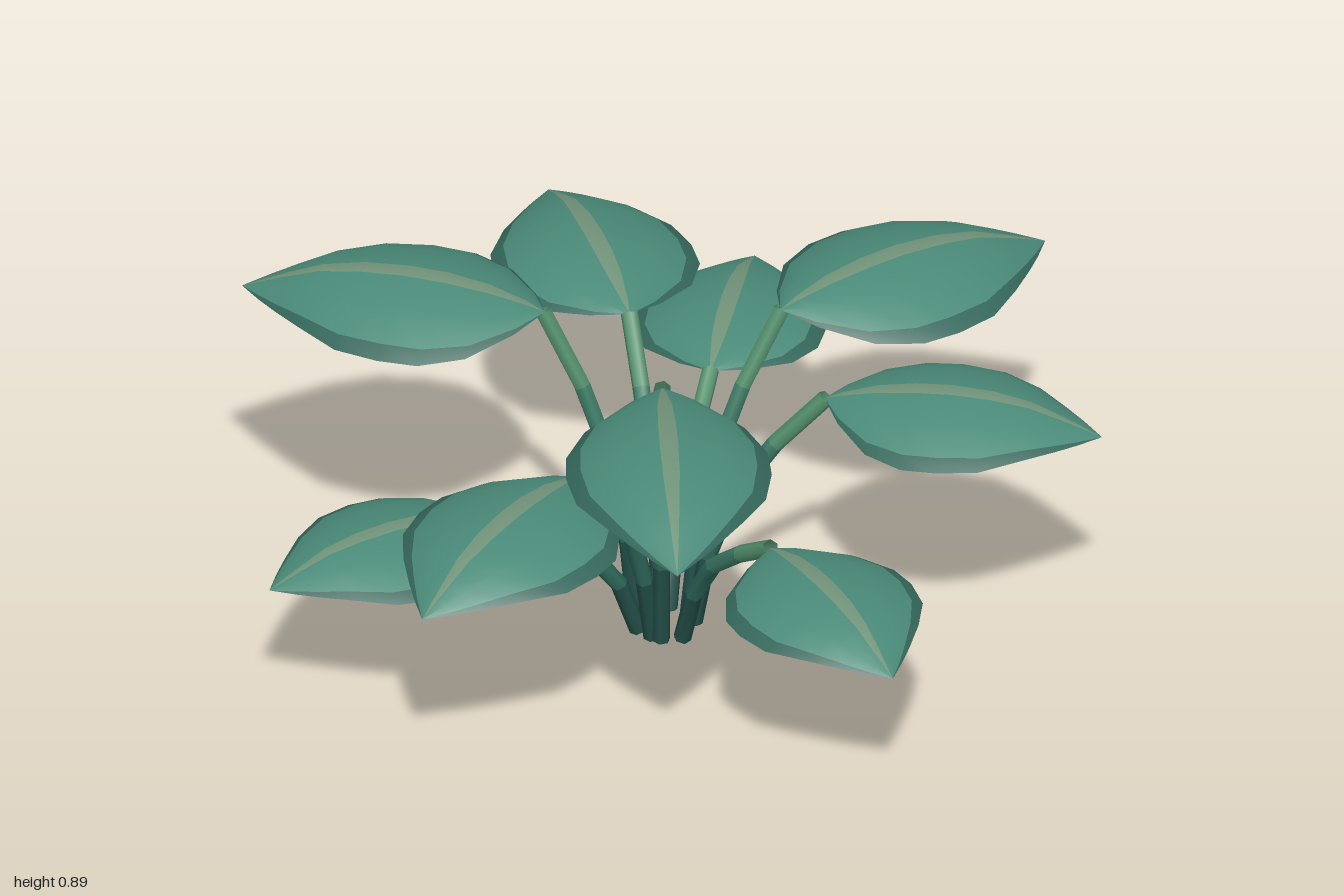
import * as THREE from 'three';

const mat = (color) => new THREE.MeshStandardMaterial({ color, side: THREE.DoubleSide });

// Leaf outline and midrib stations: [t along leaf, half-width factor, midrib height]
const STATIONS = [
  [0, 0.04, 0], [0.06, 0.36, 0.016], [0.18, 0.78, 0.038], [0.32, 0.98, 0.051],
  [0.45, 1, 0.054], [0.6, 0.92, 0.046], [0.74, 0.67, 0.026], [0.85, 0.41, -0.006],
  [0.92, 0.23, -0.028], [1, 0, -0.055],
];
// Positions across the leaf, and the material of each strip between them
const ACROSS = [-1, -0.86, -0.5, -0.09, 0.09, 0.5, 0.86, 1];
const STRIP_MATERIAL = [0, 1, 1, 2, 1, 1, 0];

// Domed blade: starts at the origin, points along +z, edges droop
function leafGeometry(length, width) {
  const k = length / 0.72;
  const pos = [], index = [];
  const cols = ACROSS.length;
  for (const [t, w, h] of STATIONS) {
    for (const s of ACROSS) {
      const droop = 0.09 * w * Math.pow(Math.abs(s), 2.1);
      pos.push(s * w * width / 2, k * (h - droop), t * length);
    }
  }
  const geo = new THREE.BufferGeometry();
  for (let c = 0; c < cols - 1; c++) {
    const start = index.length;
    for (let r = 0; r < STATIONS.length - 1; r++) {
      const a = r * cols + c, b = a + cols;
      index.push(a, b, a + 1, b, b + 1, a + 1);
    }
    geo.addGroup(start, index.length - start, STRIP_MATERIAL[c]);
  }
  geo.setAttribute('position', new THREE.Float32BufferAttribute(pos, 3));
  geo.setIndex(index);
  geo.computeVertexNormals();
  return geo;
}

// Six-sided stem that rises steeply and then leans out, lighter toward the top
const SEGMENTS = 4, SIDES = 6, RADIUS = 0.021;
function stemGeometry(root, top) {
  const along = (f, h) => new THREE.Vector3(
    THREE.MathUtils.lerp(root.x, top.x, f), top.y * h, THREE.MathUtils.lerp(root.z, top.z, f));
  const curve = new THREE.CatmullRomCurve3(
    [along(0, 0), along(0.13, 0.33), along(0.39, 0.64), along(1, 1)]);
  const geo = new THREE.TubeGeometry(curve, SEGMENTS, RADIUS, SIDES, false);
  for (let i = 0; i < SEGMENTS; i++) geo.addGroup(i * SIDES * 6, SIDES * 6, i);
  return geo;
}

// Each plant stalk: root x, z; leaf base x, y, z; leaf tip x, z; leaf width
const STALKS = [
  // tall
  [0.0, 0.04, 0.15, 0.83, 0.195, 0.68, 0.70, 0.48],
  [-0.11, 0.01, -0.305, 0.81, 0.12, -0.95, 0.46, 0.52],
  [-0.02, -0.07, 0.065, 0.785, -0.30, 0.245, -1.0, 0.52],
  // middle
  [0.0, -0.07, 0.26, 0.65, -0.245, 0.79, -0.62, 0.48],
  [-0.10, -0.06, -0.36, 0.62, -0.23, -0.92, -0.545, 0.48],
  [-0.025, 0.045, 0.025, 0.60, 0.345, 0.135, 0.99, 0.5],
  // low
  [0.03, 0.0, 0.395, 0.445, 0.085, 0.945, 0.25, 0.46],
  [-0.08, -0.07, -0.27, 0.42, -0.41, -0.585, -0.89, 0.45],
  [-0.07, 0.045, -0.20, 0.42, 0.40, -0.40, 0.945, 0.46],
];

export function createModel() {
  const plant = new THREE.Group();
  plant.name = 'plant';
  const leafMaterials = [mat(0x34665a), mat(0x4a8a78), mat(0x72937a)];
  const stemMaterials = [0x234f49, 0x2f6a5c, 0x3f7f69, 0x55936f].map(mat);

  for (const [rx, rz, bx, by, bz, tx, tz, width] of STALKS) {
    const stalk = new THREE.Group();
    stalk.name = 'stalk';

    const root = new THREE.Vector3(rx, 0, rz);
    const stem = new THREE.Mesh(
      stemGeometry(root, new THREE.Vector3(bx, by, bz)), stemMaterials);
    stem.name = 'stem';

    // closes the foot of the stem
    const foot = new THREE.Mesh(new THREE.CircleGeometry(RADIUS, SIDES), stemMaterials[0]);
    foot.name = 'stemFoot';
    foot.rotation.x = Math.PI / 2;
    foot.position.set(rx, 0.003, rz);

    const length = Math.hypot(tx - bx, tz - bz);
    const leaf = new THREE.Mesh(leafGeometry(length, width), leafMaterials);
    leaf.name = 'leaf';
    leaf.position.set(bx, by, bz);
    leaf.rotation.y = Math.atan2(tx - bx, tz - bz);

    stalk.add(stem, foot, leaf);
    plant.add(stalk);
  }
  return plant;
}
